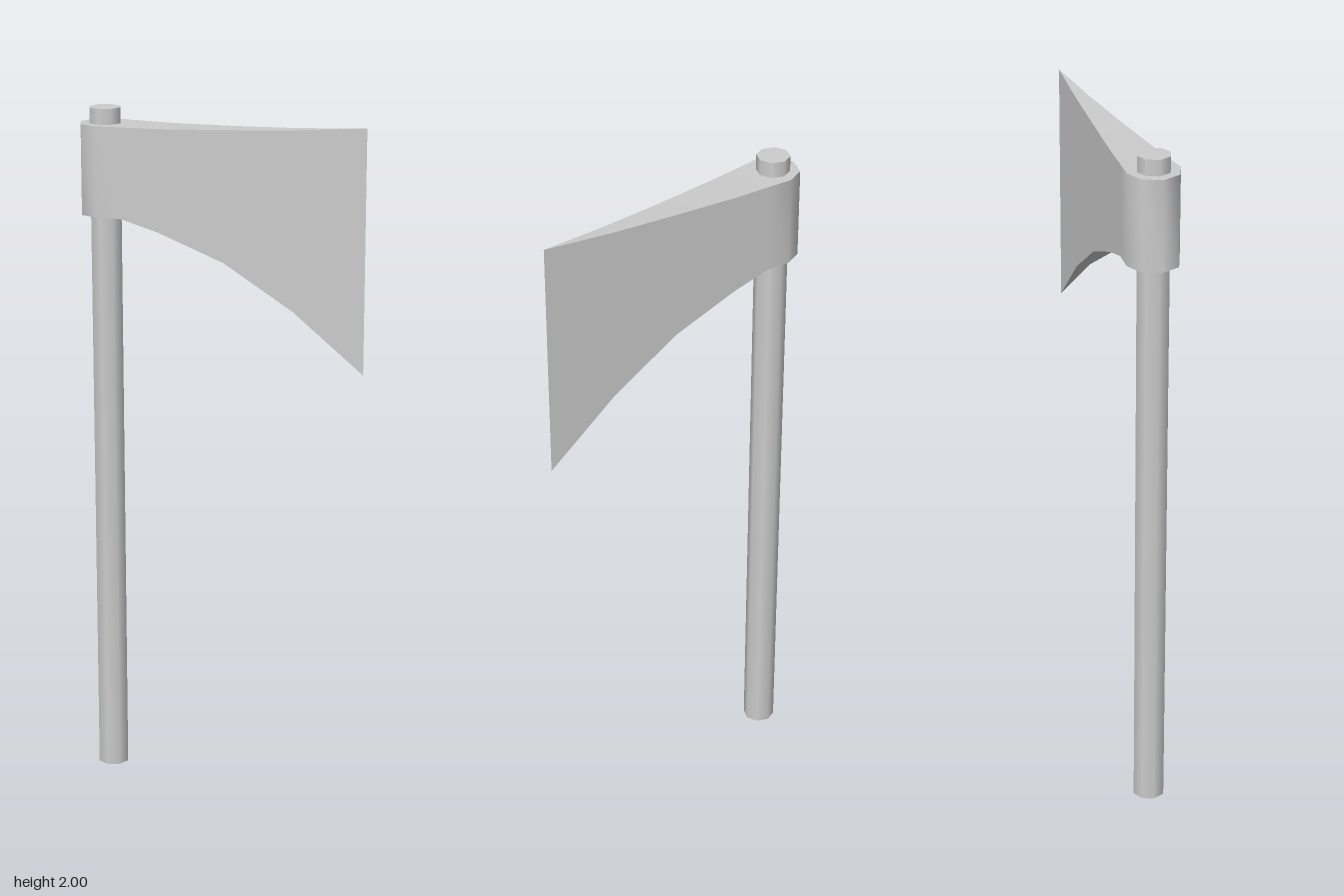
import * as THREE from 'three';
import { toCreasedNormals } from 'three/addons/utils/BufferGeometryUtils.js';

const HANDLE_X = -0.35;

// Head sections from poll to cutting edge: [x, half thickness, bottom, top]
const SECTIONS = [
  [-0.425, 0, 1.695, 1.955],
  [-0.403, 0.053, 1.695, 1.955],
  [-0.35, 0.075, 1.695, 1.955],
  [-0.28, 0.068, 1.695, 1.955],
  [-0.17, 0.058, 1.662, 1.955],
  [0.02, 0.039, 1.585, 1.96],
  [0.22, 0.02, 1.457, 1.968],
  [0.425, 0, 1.285, 1.982],
];

function headGeometry() {
  const pos = [];
  const tri = (a, b, c) => {
    // the pinched ends would give zero-area triangles
    if (a.equals(b) || b.equals(c) || c.equals(a)) return;
    for (const p of [a, b, c]) pos.push(p.x, p.y, p.z);
  };
  // corners: top front, bottom front, bottom back, top back
  const rings = SECTIONS.map(([x, w, lo, hi]) => [[hi, w], [lo, w], [lo, -w], [hi, -w]]
    .map(([y, z]) => new THREE.Vector3(x, y, z === 0 ? 0 : z)));
  for (let i = 0; i < rings.length - 1; i++) {
    const p = rings[i], q = rings[i + 1];
    for (let k = 0; k < 4; k++) {
      const n = (k + 1) % 4;
      tri(p[k], p[n], q[n]);
      tri(p[k], q[n], q[k]);
    }
  }
  const g = new THREE.BufferGeometry();
  g.setAttribute('position', new THREE.Float32BufferAttribute(pos, 3));
  return toCreasedNormals(g, 0.9);
}

export function createModel() {
  const group = new THREE.Group();
  group.name = 'axe';
  const material = new THREE.MeshStandardMaterial({ color: 0xcccccc });

  // Straight eight-sided shaft
  const handle = new THREE.Mesh(new THREE.CylinderGeometry(0.047, 0.047, 2, 8), material);
  handle.name = 'handle';
  handle.position.set(HANDLE_X, 1, 0);

  // Rounded eye tapering into the flared blade
  const head = new THREE.Mesh(headGeometry(), material);
  head.name = 'axeHead';

  group.add(handle, head);
  return group;
}
